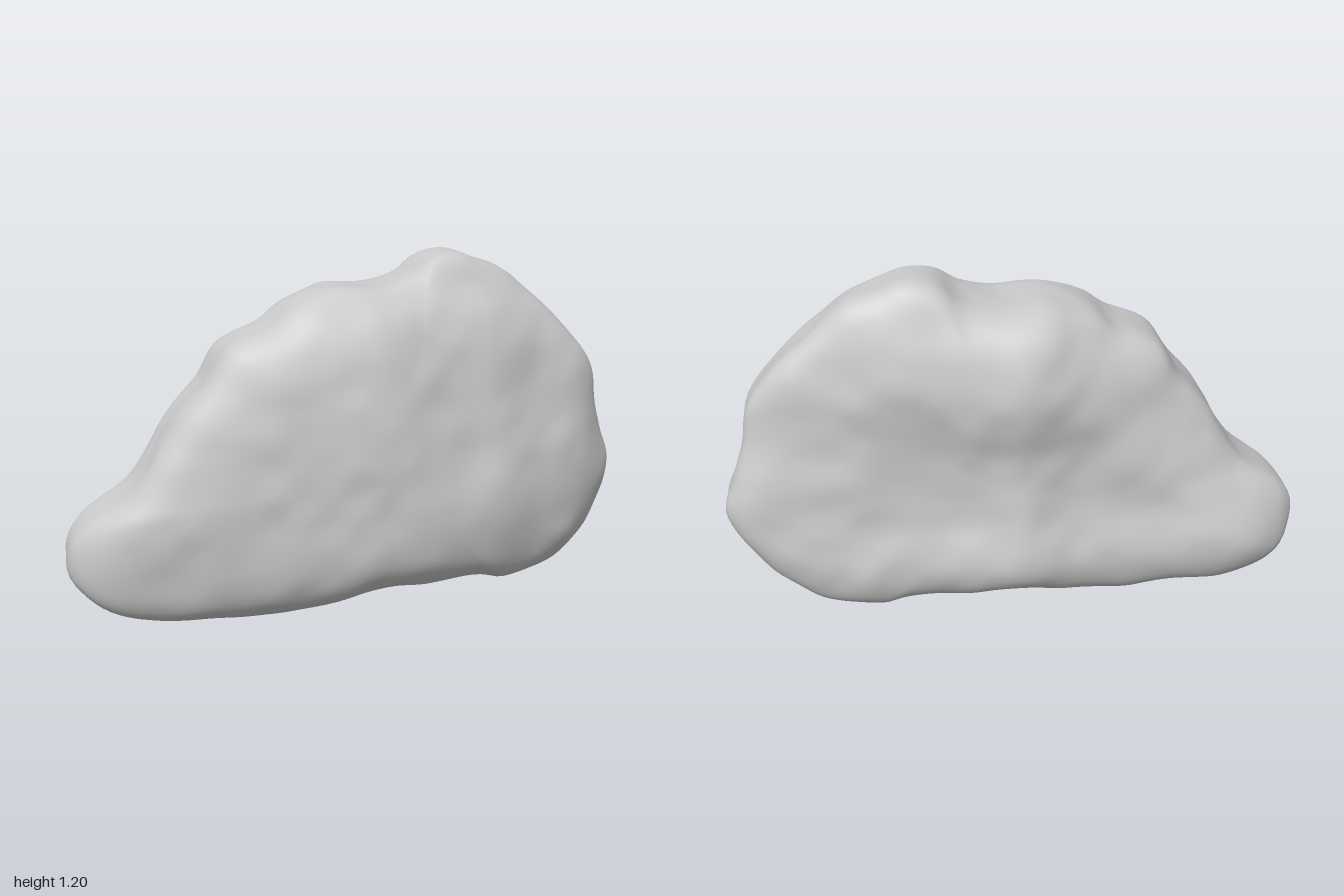
import * as THREE from 'three';
import { mergeVertices } from 'three/addons/utils/BufferGeometryUtils.js';

const { smoothstep, lerp } = THREE.MathUtils;

// Silhouette of the boulder, counter-clockwise
const OUTLINE = [
  [1, 0.41], [0.96, 0.54], [0.92, 0.66], [0.89, 0.8], [0.8, 0.92], [0.68, 1.03], [0.56, 1.13],
  [0.45, 1.175], [0.36, 1.2], [0.27, 1.185], [0.19, 1.13], [0.06, 1.095], [-0.1, 1.095], [-0.24, 1.05],
  [-0.32, 0.99], [-0.48, 0.915], [-0.55, 0.81], [-0.63, 0.72], [-0.72, 0.58], [-0.8, 0.46],
  [-0.94, 0.36], [-1, 0.27], [-0.99, 0.16], [-0.91, 0.08], [-0.76, 0.02], [-0.58, 0.015],
  [-0.35, 0.005], [-0.15, 0.02], [0, 0.06], [0.2, 0.05], [0.43, 0.045], [0.53, 0.02], [0.74, 0.055],
  [0.87, 0.14], [0.95, 0.25],
];

// Depth of each face along x, its scaling along y, and the z of the rim along x
const FRONT_X = [[-1, 0.15], [-0.9, 0.21], [-0.75, 0.245], [-0.5, 0.265], [-0.3, 0.295], [0, 0.32], [0.4, 0.295], [0.6, 0.235], [0.8, 0.175], [0.9, 0.12], [1, 0.04]];
const BACK_X = [[-1, 0.19], [-0.93, 0.24], [-0.7, 0.27], [-0.2, 0.272], [0, 0.31], [0.12, 0.298], [0.3, 0.275], [0.55, 0.277], [0.9, 0.275], [1, 0.25]];
const FRONT_Y = [[0, 0.76], [0.08, 0.9], [0.2, 0.97], [0.5, 1], [0.8, 0.9], [1, 0.74], [1.1, 0.56], [1.2, 0.48]];
const BACK_Y = [[0, 0.96], [0.2, 1.02], [0.4, 0.92], [0.6, 0.92], [0.83, 1.04], [1, 0.97], [1.1, 0.88], [1.2, 0.78]];
const RIM_X = [[-1, -0.04], [-0.7, 0.04], [-0.3, 0.06], [0.1, 0], [0.4, -0.07], [0.8, -0.08], [1, -0.05]];

// Smooth curve through a short table
function sample(table, t) {
  const last = table.length - 1;
  if (t <= table[0][0]) return table[0][1];
  if (t >= table[last][0]) return table[last][1];
  const i = table.findIndex(([key]) => key > t) - 1;
  const slope = (k) => {
    const a = table[Math.max(k - 1, 0)], b = table[Math.min(k + 1, last)];
    return (b[1] - a[1]) / (b[0] - a[0]);
  };
  const [x0, v0] = table[i], [x1, v1] = table[i + 1];
  const w = x1 - x0, u = (t - x0) / w, u2 = u * u, u3 = u2 * u;
  return v0 * (2 * u3 - 3 * u2 + 1) + v1 * (3 * u2 - 2 * u3) + w * (slope(i) * (u3 - 2 * u2 + u) + slope(i + 1) * (u3 - u2));
}

// Front face, leaning back towards the top of the tall end
function frontFace(x, y) {
  const lean = 0.055 * smoothstep(x, 0, 0.35) * smoothstep(y, 0.3, 0.75) * (1 - smoothstep(x, 0.6, 0.95));
  return sample(FRONT_X, x) * sample(FRONT_Y, y) - lean;
}

// Back face, with a sloping shelf above the low end and a shallower tall end
function backFace(x, y) {
  const shelf = 0.1 * smoothstep(y - 0.85 * x, 0.85, 1.3) * smoothstep(-x, 0.05, 0.4);
  const corner = 0.07 * smoothstep(x, 0.3, 0.85) * smoothstep(y, 0.5, 0.8);
  return shelf + corner - sample(BACK_X, x) * sample(BACK_Y, y);
}

// Value noise between -1 and 1
function hash(x, y, z) {
  const s = Math.sin(x * 127.1 + y * 311.7 + z * 74.7) * 43758.5453;
  return 2 * (s - Math.floor(s)) - 1;
}
function noise(x, y, z) {
  const i = Math.floor(x), j = Math.floor(y), k = Math.floor(z);
  const u = smoothstep(x - i, 0, 1), v = smoothstep(y - j, 0, 1), w = smoothstep(z - k, 0, 1);
  const row = (b, c) => lerp(hash(i, j + b, k + c), hash(i + 1, j + b, k + c), u);
  return lerp(lerp(row(0, 0), row(1, 0), v), lerp(row(0, 1), row(1, 1), v), w);
}

// Broad dents with smaller ones on top
function lumps(x, y, z) {
  return noise(x * 5.5, y * 5.5, z * 5.5) + 0.5 * noise(x * 11 + 7, y * 11, z * 11);
}

function boulderGeometry() {
  const around = 200, rings = 88, cx = 0.05, cy = 0.5;
  const curve = new THREE.CatmullRomCurve3(OUTLINE.map(([x, y]) => new THREE.Vector3(x, y, 0)), true);
  const rim = curve.getSpacedPoints(around);
  const positions = [], index = [];

  // Rings run from the middle of the front, over the rim, to the middle of the back
  for (let j = 0; j <= rings; j++) {
    const t = Math.PI * (0.5 - j / rings);
    const front = t >= 0, power = front ? 5 : 6;
    const c = j === 0 || j === rings ? 0 : Math.cos(t), s = Math.abs(Math.sin(t));
    const norm = Math.pow(Math.pow(c, power) + Math.pow(s, power), 1 / power);
    const r = c / norm, h = s / norm;
    for (let i = 0; i < around; i++) {
      const dx = rim[i].x - cx, dy = rim[i].y - cy;
      const x = cx + dx * r, y = cy + dy * r;
      const z = lerp(sample(RIM_X, x), front ? frontFace(x, y) : backFace(x, y), h);
      // Undercut at the lower back of the tall end
      const inset = front ? 0 : 0.08 * h * r * smoothstep(x, 0.4, 0.85) * smoothstep(0.42 - y, 0, 0.25);
      const n = lumps(x, y, z);
      const push = 0.011 * n * (1 - h * h) - inset;
      positions.push(x + dx * push, y + dy * push, z + (front ? 0.01 : -0.01) * n * h);
    }
  }
  for (let j = 0; j < rings; j++) {
    for (let i = 0; i < around; i++) {
      const k = (i + 1) % around;
      const a = j * around + i, b = j * around + k, d = a + around, e = b + around;
      if (j < rings - 1) index.push(a, d, e);
      if (j > 0) index.push(a, e, b);
    }
  }
  let geometry = new THREE.BufferGeometry();
  geometry.setAttribute('position', new THREE.Float32BufferAttribute(positions, 3));
  geometry.setIndex(index);
  geometry = mergeVertices(geometry, 1e-5);

  // Rest on the ground
  geometry.computeBoundingBox();
  geometry.translate(0, -geometry.boundingBox.min.y, 0);
  geometry.computeVertexNormals();
  return geometry;
}

export function createModel() {
  const group = new THREE.Group();
  group.name = 'rock';
  const boulder = new THREE.Mesh(boulderGeometry(), new THREE.MeshStandardMaterial({ color: 0xcccccc }));
  boulder.name = 'boulder';
  group.add(boulder);
  return group;
}
